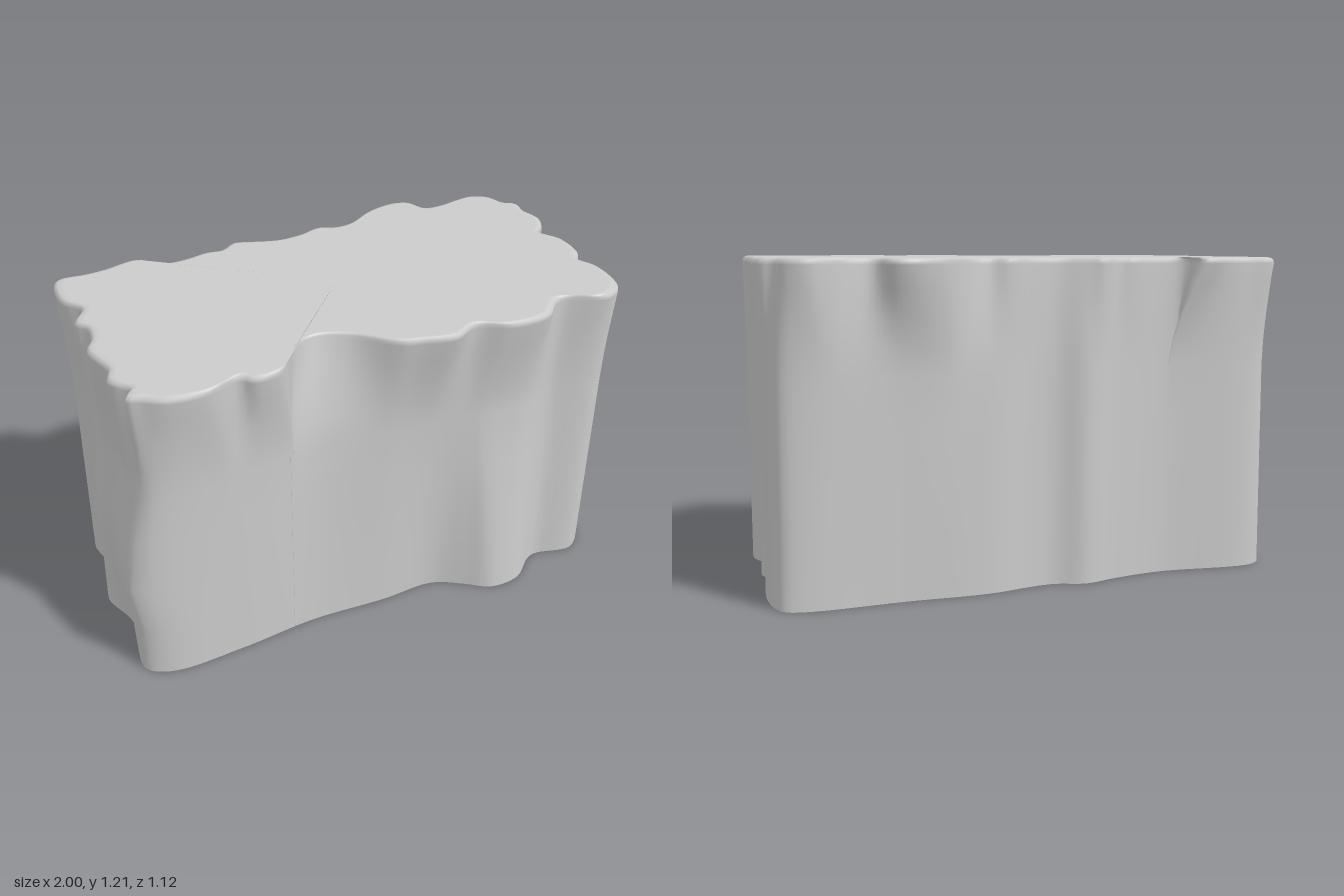
import * as THREE from 'three';

// Outlines as flat x, z pairs: back left, back, +x side, front, -x side.
const TOP = [
  -.96, -.41, -.94, -.45, -.84, -.45, -.76, -.46, -.63, -.49, -.57, -.42, -.48, -.41, -.36, -.435, -.3, -.43,
  -.23, -.475, -.18, -.46, -.06, -.425, .04, -.435, .13, -.465, .2, -.44, .27, -.45, .4, -.53, .52, -.56,
  .58, -.54, .62, -.46, .7, -.455, .78, -.475, .86, -.485, .92, -.45, .95, -.37, .99, -.34, .98, -.27,
  .995, -.18, .96, -.1, .92, -.06, .965, .04, .955, .16, .92, .22, .95, .3, .945, .4, .92, .47,
  .84, .515, .67, .46, .57, .545, .42, .555, .3, .5, .2, .545, .08, .52, .01, .5, -.13, .38,
  -.25, .34, -.33, .38, -.43, .5, -.53, .515, -.57, .48, -.7, .525, -.83, .515, -.9, .47, -.94, .45,
  -.91, .4, -.96, .32, -.94, .25, -.97, .1, -.94, .04, -.93, -.06, -.96, -.1, -.91, -.2, -.96, -.28,
];
const MID = [
  -.94, -.39, -.88, -.435, -.5, -.405, -.3, -.43, -.17, -.465, -.06, -.43, .04, -.43, .17, -.46, .28, -.465,
  .5, -.47, .87, -.45, .95, -.41, .975, -.2, .92, -.05, .95, .1, .91, .21, .94, .3, .93, .42,
  .86, .48, .68, .45, .55, .49, .42, .49, .2, .46, 0, .45, -.28, .42, -.5, .46, -.82, .48, -.9, .45,
  -.94, .35, -.93, .2, -.955, .1, -.93, .02, -.95, -.05, -.91, -.17,
];
const BASE = [
  -.95, -.38, -.88, -.435, -.5, -.405, -.3, -.43, -.17, -.46, -.06, -.425, .04, -.43, .17, -.455, .28, -.46,
  .5, -.45, .87, -.45, .95, -.42, .975, -.2, .925, -.05, .95, .08, .9, .21, .94, .3, .93, .41,
  .85, .48, .68, .455, .55, .55, .42, .555, .34, .5, .22, .435, 0, .44, -.3, .43, -.6, .46, -.88, .465,
  -.97, .41, -.96, .28, -.94, .15, -.99, -.03, -.92, -.15,
];
const N = 320;

// Smooth closed loop through the points
function loop(table, count) {
  const points = [];
  for (let i = 0; i < table.length; i += 2) points.push(new THREE.Vector3(table[i], 0, table[i + 1]));
  return new THREE.CatmullRomCurve3(points, true).getSpacedPoints(count).slice(0, count);
}

// Point where the ray from the centre through p crosses the outline
function project(p, outline) {
  for (let i = 0; i < outline.length; i++) {
    const a = outline[i], b = outline[(i + 1) % outline.length];
    const ex = b.x - a.x, ez = b.z - a.z;
    const den = p.x * ez - p.z * ex;
    if (Math.abs(den) < 1e-9) continue;
    const t = (a.x * ez - a.z * ex) / den;
    const s = (a.x * p.z - a.z * p.x) / den;
    if (t > 0 && s >= 0 && s <= 1) return new THREE.Vector3(p.x * t, 0, p.z * t);
  }
  return p.clone();
}

const lerpRing = (a, b, t) => a.map((p, i) => p.clone().lerp(b[i], t));
const shrink = (ring, s) => ring.map(p => p.clone().multiplyScalar(s));

// Bulge of the -x end, strongest towards the front corner
const bulge = (ring, amount) => ring.map(p => {
  const end = THREE.MathUtils.smoothstep(-p.x, .6, .95);
  const front = THREE.MathUtils.smoothstep(p.z, -.4, .35);
  return new THREE.Vector3(Math.max(-1, p.x - amount * end * front), 0, p.z);
});

// The top rises slightly towards the +x end
const tilt = (x, y) => y > 1.15 ? y + .005 * (x + 1) / 2 : y;

function buildGeometry(positions, index) {
  const g = new THREE.BufferGeometry();
  g.setAttribute('position', new THREE.Float32BufferAttribute(positions, 3));
  g.setIndex(index);
  g.computeVertexNormals();
  return g;
}

export function createModel() {
  const group = new THREE.Group();
  const material = new THREE.MeshStandardMaterial({ color: 0xcccccc, side: THREE.DoubleSide });

  const top = loop(TOP, N);
  const midLoop = loop(MID, 200), baseLoop = loop(BASE, 200);
  const mid = top.map(p => project(p, midLoop));
  const base = top.map(p => project(p, baseLoop));

  // Stacked cross-sections: height and outline, ending in a rounded rim
  const sections = [
    [0, base],
    [.2, bulge(lerpRing(base, mid, .25), .015)],
    [.4, bulge(lerpRing(base, mid, .5), .055)],
    [.6, bulge(lerpRing(base, mid, .75), .03)],
    [.8, mid],
    [.9, lerpRing(mid, top, .15)],
    [1, lerpRing(mid, top, .4)],
    [1.1, lerpRing(mid, top, .72)],
    [1.18, top],
    [1.194, shrink(top, .997)],
    [1.202, shrink(top, .985)],
    [1.203, shrink(top, .965)],
  ];

  // Rock walls, open underneath
  const positions = [], index = [];
  sections.forEach(([y, ring], r) => ring.forEach((p, i) => {
    positions.push(p.x, tilt(p.x, y), p.z);
    if (r === 0) return;
    const j = (i + 1) % N, lo = (r - 1) * N, hi = r * N;
    index.push(lo + j, lo + i, hi + i, lo + j, hi + i, hi + j);
  }));
  const walls = new THREE.Mesh(buildGeometry(positions, index), material);
  walls.name = 'rockWalls';

  // Flat top surface
  const [capY, capRing] = sections.at(-1);
  const capPositions = [0, tilt(0, capY), 0], capIndex = [];
  capRing.forEach((p, i) => {
    capPositions.push(p.x, tilt(p.x, capY), p.z);
    capIndex.push(0, (i + 1) % N + 1, i + 1);
  });
  const cap = new THREE.Mesh(buildGeometry(capPositions, capIndex), material);
  cap.name = 'rockTop';

  group.add(walls, cap);
  return group;
}
